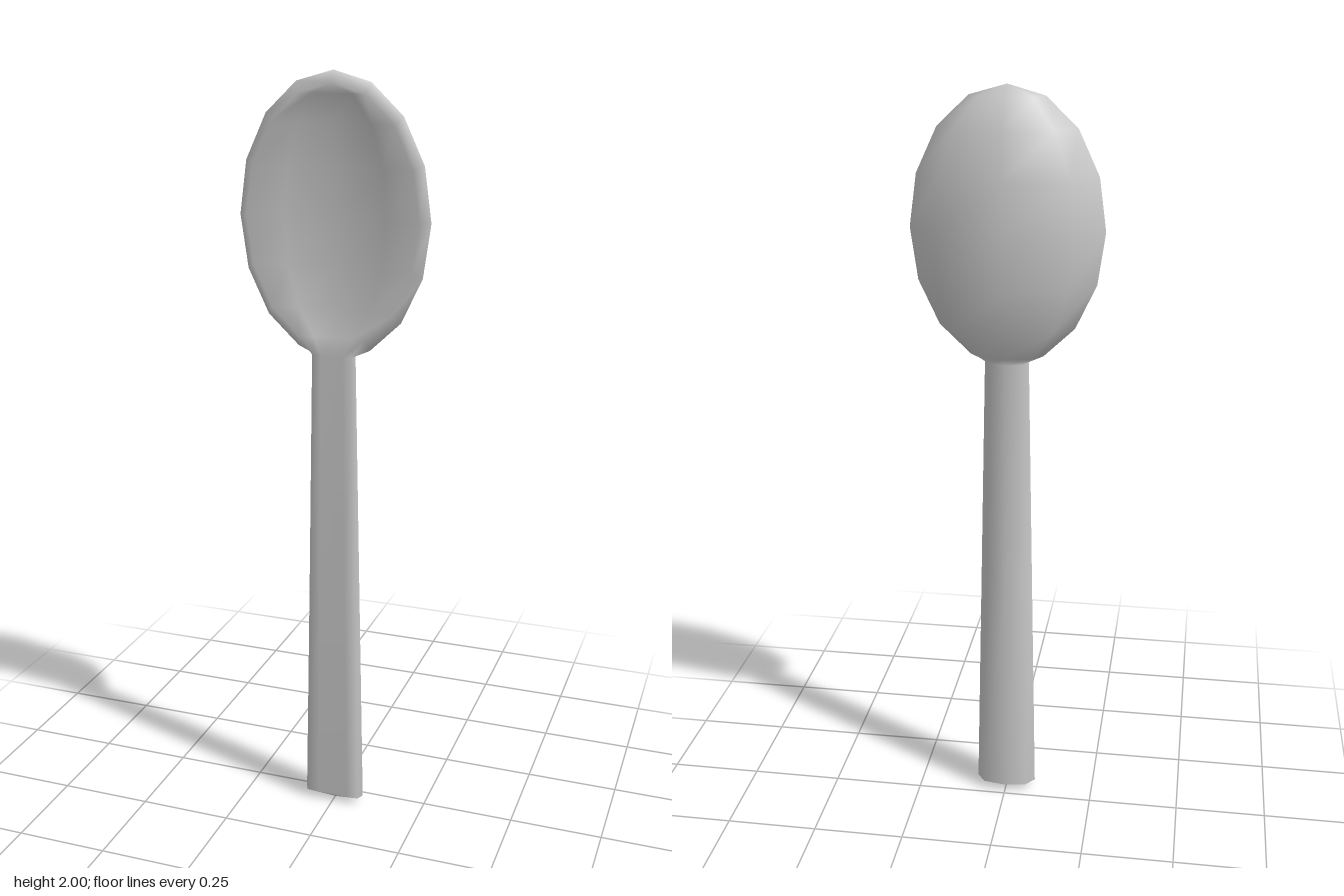
import * as THREE from 'three';
import { mergeVertices } from 'three/addons/utils/BufferGeometryUtils.js';

// Skins closed rings of [x, y, z] points, listed from top to bottom, each
// running counter-clockwise as seen from above.
function loft(rings) {
  const n = rings[0].length, index = [];
  for (let i = 0; i < rings.length - 1; i++) {
    for (let j = 0; j < n; j++) {
      const a = i * n + j, b = i * n + (j + 1) % n;
      index.push(a, a + n, b, b, a + n, b + n);
    }
  }
  let geo = new THREE.BufferGeometry();
  geo.setAttribute('position', new THREE.Float32BufferAttribute(rings.flat(2), 3));
  geo.setIndex(index);
  geo = mergeVertices(geo, 1e-4);
  geo.computeVertexNormals();
  return geo;
}

// Bowl ring: rounded back, bevelled rim and a gently hollowed front
function bowlRing(i) {
  const t = (i / 8) * Math.PI, s = Math.sin(t), c = Math.cos(t);
  const back = [0, 1, 2, 3, 4].map(k => {
    const phi = k * Math.PI / 4;
    return [0.25 * s * Math.cos(phi), 1.645 + 0.355 * c, 0.05 - 0.125 * s * Math.sin(phi)];
  });
  const front = [-1, -0.6, 0, 0.6, 1].map(u =>
    [0.225 * s * u, 1.645 + 0.325 * c, 0.07 - 0.045 * s * (1 - u * u)]);
  return [...back, ...front];
}

// Handle ring: flat front, rounded back, w = half width
function handleRing(y, w) {
  const profile = [[1, 0.05], [0.72, 0.02], [0, 0.01], [-0.72, 0.02], [-1, 0.05],
    [-0.9, 0.07], [-0.5, 0.07], [0, 0.07], [0.5, 0.07], [0.9, 0.07]];
  return profile.map(([x, z]) => [x * w, y, z]);
}

export function createModel() {
  const spoon = new THREE.Group();
  spoon.name = 'spoon';

  // One continuous skin: bowl, neck, handle and blunt pointed end
  const rings = [0, 1, 2, 3, 4, 5, 6, 7].map(bowlRing);
  rings.push(handleRing(1.3, 0.058), handleRing(0.66, 0.071), handleRing(0.022, 0.084));
  rings.push(Array(10).fill([0, 0, 0.045]));

  const body = new THREE.Mesh(loft(rings), new THREE.MeshStandardMaterial({ color: 0xcccccc }));
  body.name = 'bowlAndHandle';
  spoon.add(body);
  return spoon;
}
